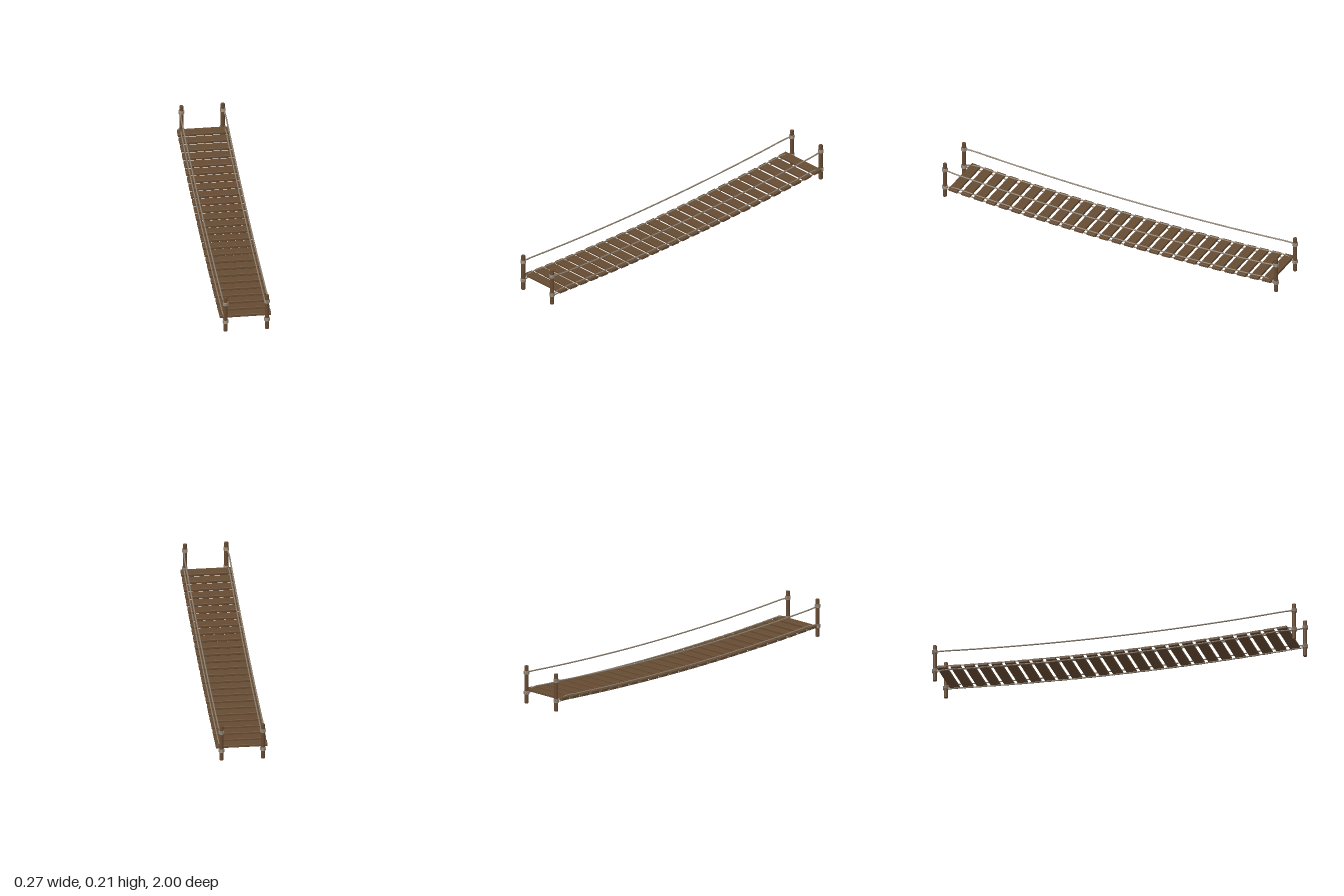
import * as THREE from 'three';
import { RoundedBoxGeometry } from 'three/addons/geometries/RoundedBoxGeometry.js';

const POST_X = 0.11, POST_Z = 0.984, ROPE_X = 0.119;
const PLANKS = 26, PITCH = 0.0745, PLANK_T = 0.015;

// sagging heights along the span
const deckY = z => 0.0375 + 0.0324 * z * z;
const railY = z => 0.135 + 0.034 * z * z;

function material(name, color) {
  const m = new THREE.MeshStandardMaterial({ color });
  m.name = name;
  return m;
}

// rope following a height rule from post to post
function rope(name, side, height, radius, mat) {
  const pts = [];
  for (let i = 0; i <= 28; i++) {
    const z = POST_Z * (i / 14 - 1);
    const x = Math.abs(z) > 0.98 ? POST_X + 0.004 : ROPE_X;
    pts.push(new THREE.Vector3(side * x, height(z), z));
  }
  const curve = new THREE.CatmullRomCurve3(pts);
  const mesh = new THREE.Mesh(new THREE.TubeGeometry(curve, 112, radius, 8), mat);
  mesh.name = name;
  return mesh;
}

export function createModel() {
  const model = new THREE.Group();
  model.name = 'ropeBridge';
  const plankWood = material('plankWood', 0x664b32);
  const postWood = material('postWood', 0x664a32);
  const ropeFibre = material('ropeFibre', 0x8c8070);

  // walking planks, tilted to follow the sag
  const planks = new THREE.Group();
  planks.name = 'planks';
  const plankGeo = new RoundedBoxGeometry(0.274, PLANK_T, 0.053, 2, 0.003);
  for (let i = 0; i < PLANKS; i++) {
    const z = -0.939 + i * PITCH;
    const plank = new THREE.Mesh(plankGeo, plankWood);
    plank.name = 'plank';
    plank.position.set(0, deckY(z), z);
    plank.rotation.x = -Math.atan(2 * 0.0324 * z);
    planks.add(plank);
  }
  model.add(planks);

  // posts with a slightly bevelled top and bottom
  const r = 0.0108, h = 0.206, b = 0.002;
  const postGeo = new THREE.LatheGeometry(
    [[0, 0], [r - b, 0], [r, b], [r, h - b], [r - b, h], [0, h]].map(p => new THREE.Vector2(...p)), 16);
  const ringGeo = new THREE.TorusGeometry(0.0118, 0.0038, 8, 20);
  ringGeo.rotateX(Math.PI / 2);
  for (const sx of [-1, 1]) {
    for (const sz of [-1, 1]) {
      const post = new THREE.Group();
      post.name = 'post';
      const pole = new THREE.Mesh(postGeo, postWood);
      pole.name = 'pole';
      post.add(pole);
      // rope lashings at deck and rail height
      for (const y of [0.058, 0.168]) {
        for (let k = -1; k <= 1; k++) {
          const ring = new THREE.Mesh(ringGeo, ropeFibre);
          ring.name = 'lashing';
          ring.position.y = y + k * 0.0063;
          post.add(ring);
        }
      }
      post.position.set(sx * POST_X, 0, sz * POST_Z);
      model.add(post);
    }

    // hand rope, and the pair of ropes gripping the planks
    model.add(rope('handRope', sx, railY, 0.004, ropeFibre));
    for (const s of [-1, 1]) {
      const height = z => Math.abs(z) > 0.98 ? 0.058 + s * 0.005 : deckY(z) + s * 0.0105;
      model.add(rope(s > 0 ? 'upperDeckRope' : 'lowerDeckRope', sx, height, 0.0035, ropeFibre));
    }
  }
  return model;
}
